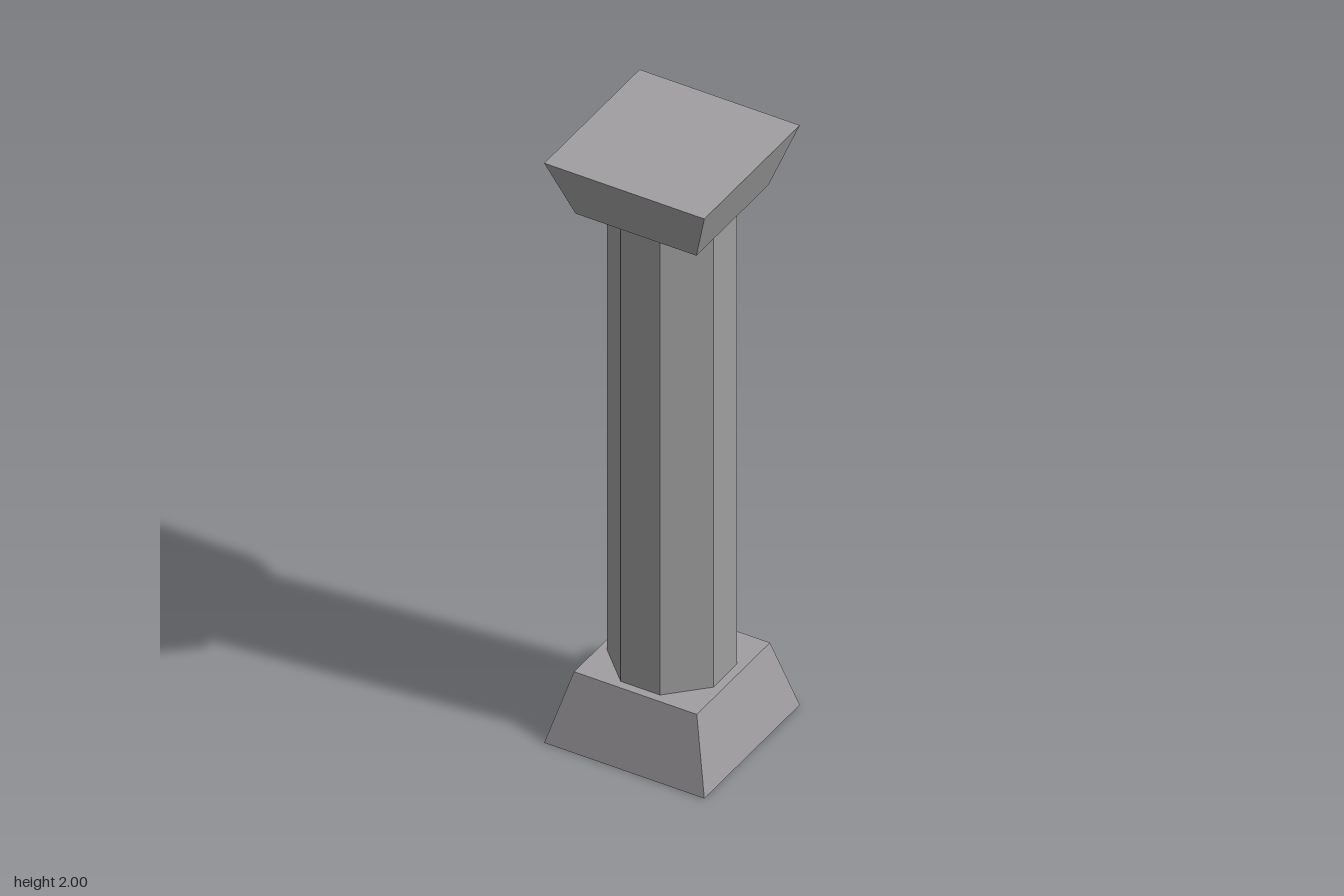
import * as THREE from 'three';

export function createModel() {
  const model = new THREE.Group();
  const stone = new THREE.MeshStandardMaterial({ color: 0xa09ea0 });
  stone.name = 'grey stone';

  function add(name, geometry, y) {
    const mesh = new THREE.Mesh(geometry, stone);
    mesh.name = name;
    mesh.position.y = y;
    model.add(mesh);
  }

  // Square block with sloping sides, standing on its lower face
  function taperedBlock(topHalf, bottomHalf, height) {
    const g = new THREE.CylinderGeometry(topHalf * Math.SQRT2, bottomHalf * Math.SQRT2, height, 4);
    g.rotateY(Math.PI / 4);
    g.translate(0, height / 2, 0);
    const flat = g.toNonIndexed();
    flat.computeVertexNormals();
    return flat;
  }

  // Square shaft with wide chamfered corners
  const half = 0.173, face = 0.064;
  const section = new THREE.Shape([
    [face, -half], [half, -face], [half, face], [face, half],
    [-face, half], [-half, face], [-half, -face], [-face, -half],
  ].map(([x, y]) => new THREE.Vector2(x, y)));
  const shaft = new THREE.ExtrudeGeometry(section, { depth: 1.58, bevelEnabled: false });
  shaft.rotateX(-Math.PI / 2);

  add('base', taperedBlock(0.2, 0.261, 0.23), 0);
  add('shaft', shaft, 0.23);
  add('capital', taperedBlock(0.261, 0.197, 0.19), 1.81);
  return model;
}
